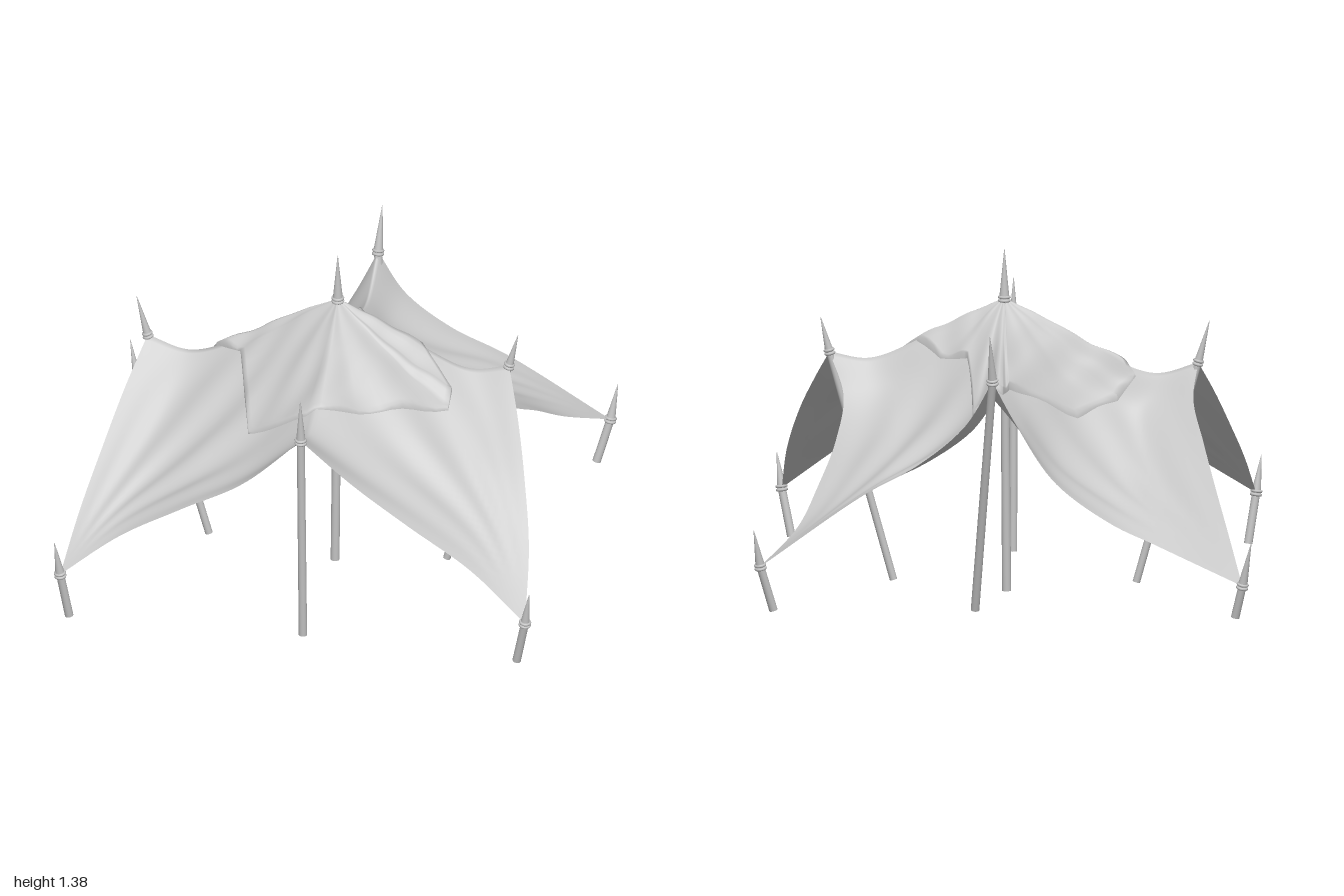
import * as THREE from 'three';

const V = (p) => new THREE.Vector3(...p);
const clothMat = new THREE.MeshStandardMaterial({ color: 0xc8c8c8, side: THREE.DoubleSide });
clothMat.name = 'light grey canvas';
const poleMat = new THREE.MeshStandardMaterial({ color: 0xc2c2c2 });
poleMat.name = 'grey wood';

// Pole lashing points that carry the canvas
const C = [0.035, 1.18, 0.035];
const L = [0.73, 0.96, 0.035], R = [-0.735, 0.93, 0.04];
const F = [0.04, 0.94, 0.765], B = [0.04, 0.98, -0.71];
const FL = [0.965, 0.26, 0.84], FR = [-0.92, 0.26, 0.84];
const BL = [0.955, 0.25, -0.84], BR = [-0.96, 0.19, -0.835];

const curve = (...pts) => new THREE.CatmullRomCurve3(pts.map(V), false, 'centripetal');

// Ridges from the centre pole to the side poles
const ridge = {
  L: curve(C, [0.18, 1.11, 0.035], [0.36, 1.02, 0.04], [0.57, 0.935, 0.045], L),
  R: curve(C, [-0.14, 1.09, 0.035], [-0.34, 0.97, 0.04], [-0.56, 0.885, 0.045], R),
  F: curve(C, [0.04, 1.08, 0.2], [0.04, 0.96, 0.4], [0.04, 0.88, 0.6], F),
  B: curve(C, [0.04, 1.01, -0.13], [0.04, 0.9, -0.34], [0.04, 0.87, -0.53], B),
};
// Hanging outer edges from the side poles to the corner stakes
const hem = {
  LF: curve(L, [0.8, 0.82, 0.2], [0.87, 0.66, 0.4], [0.93, 0.47, 0.6], FL),
  LB: curve(L, [0.67, 0.8, -0.04], [0.69, 0.65, -0.18], [0.75, 0.5, -0.42], [0.82, 0.37, -0.62], BL),
  RF: curve(R, [-0.79, 0.78, 0.22], [-0.84, 0.61, 0.43], [-0.885, 0.44, 0.64], FR),
  RB: curve(R, [-0.72, 0.8, -0.04], [-0.77, 0.65, -0.2], [-0.83, 0.5, -0.4], [-0.89, 0.36, -0.6], BR),
  FL: curve(F, [0.25, 0.77, 0.775], [0.48, 0.61, 0.78], [0.73, 0.44, 0.78], FL),
  FR: curve(F, [-0.2, 0.71, 0.755], [-0.45, 0.56, 0.745], [-0.7, 0.41, 0.75], FR),
  BL: curve(B, [0.15, 0.8, -0.72], [0.33, 0.65, -0.745], [0.55, 0.53, -0.78], BL),
  BR: curve(B, [-0.05, 0.8, -0.66], [-0.2, 0.56, -0.61], [-0.42, 0.39, -0.58], [-0.6, 0.31, -0.605], BR),
};
const corner = { LF: FL, LB: BL, RF: FR, RB: BR };
const mid = { L, R, F, B };

// Point on the canvas, s and t from -1 to 1: a blended patch in each quarter
function canvasPoint(s, t) {
  const a = s >= 0 ? 'L' : 'R', b = t >= 0 ? 'F' : 'B';
  const u = Math.abs(s), v = Math.abs(t);
  const p = new THREE.Vector3();
  p.addScaledVector(ridge[a].getPoint(u), 1 - v).addScaledVector(hem[b + a].getPoint(u), v);
  p.addScaledVector(ridge[b].getPoint(v), 1 - u).addScaledVector(hem[a + b].getPoint(v), u);
  p.addScaledVector(V(C), -(1 - u) * (1 - v)).addScaledVector(V(mid[a]), -u * (1 - v));
  p.addScaledVector(V(mid[b]), -(1 - u) * v).addScaledVector(V(corner[a + b]), -u * v);
  // Folds fanning out from the corner stakes
  const fan = Math.atan2(1 - u, 1 - v + 1e-6);
  p.y += 0.011 * Math.sin(fan * 17 + s * 2) * 16 * u * (1 - u) * v * (1 - v);
  return p;
}

// Surface over a grid of points
function gridSurface(n, m, point) {
  const pos = [], idx = [];
  for (let i = 0; i <= n; i++) {
    for (let j = 0; j <= m; j++) pos.push(...point(i / n, j / m).toArray());
  }
  for (let i = 0; i < n; i++) {
    for (let j = 0; j < m; j++) {
      const a = i * (m + 1) + j, b = a + m + 1;
      idx.push(a, a + 1, b, b, a + 1, b + 1);
    }
  }
  const g = new THREE.BufferGeometry();
  g.setAttribute('position', new THREE.Float32BufferAttribute(pos, 3));
  g.setIndex(idx);
  g.computeVertexNormals();
  return g;
}

// Ragged outline of the second cloth thrown over the peak
const rag = [[-0.45, -0.14], [-0.33, -0.25], [-0.06, -0.33], [-0.03, -0.4], [0.18, -0.42], [0.21, -0.14],
  [0.32, -0.09], [0.465, 0.13], [0.45, 0.21], [0.155, 0.36], [-0.03, 0.43], [-0.23, 0.4], [-0.35, 0.07], [-0.48, -0.03]];

function ragPoint(r, w) {
  const k = w * rag.length, i = Math.floor(k) % rag.length, f = k - Math.floor(k);
  const p = rag[i], q = rag[(i + 1) % rag.length];
  const e = Math.min(r / 0.97, 1) / 0.71;
  const s = (p[0] + (q[0] - p[0]) * f) * e, t = (p[1] + (q[1] - p[1]) * f) * e;
  const o = canvasPoint(s, t);
  // Crumples, with the hem turned down onto the canvas
  const crumple = 0.007 * Math.sin(w * 82 + r * 3) + 0.005 * Math.sin(s * 31 + t * 17);
  o.y += r > 0.98 ? 0.001 : 0.004 + r * (0.016 + crumple);
  return o;
}

function mesh(name, geo, mat) {
  const m = new THREE.Mesh(geo, mat);
  m.name = name;
  return m;
}

// Tapered round bar between two points
function bar(name, from, to, r0, r1, sides = 16) {
  const a = V(from), b = V(to), d = b.clone().sub(a);
  const m = mesh(name, new THREE.CylinderGeometry(r1, r0, d.length(), sides), poleMat);
  m.position.copy(a).add(b).multiplyScalar(0.5);
  m.quaternion.setFromUnitVectors(new THREE.Vector3(0, 1, 0), d.normalize());
  return m;
}

// Pole with rope lashing and a pointed finial
function pole(name, foot, tie, tip, r) {
  const g = new THREE.Group();
  g.name = name;
  g.add(bar('shaft', foot, tie, r, r * 0.95));
  g.add(bar('spike', tie, tip, r * 1.15, 0.001));
  const up = V(tip).sub(V(tie)).normalize();
  for (const k of [-0.007, 0.007]) {
    const ring = mesh('lashing', new THREE.TorusGeometry(r * 1.1, 0.006, 8, 20), poleMat);
    ring.position.copy(V(tie)).addScaledVector(up, k);
    ring.quaternion.setFromUnitVectors(new THREE.Vector3(0, 0, 1), up);
    g.add(ring);
  }
  return g;
}

export function createModel() {
  const model = new THREE.Group();
  model.name = 'canvasShelter';
  model.add(mesh('canvas', gridSurface(88, 88, (a, b) => canvasPoint(a * 2 - 1, b * 2 - 1)), clothMat));
  model.add(mesh('peakCloth', gridSurface(112, 30, (w, r) => ragPoint(r, w)), clothMat));

  const poles = [
    ['centrePole', [0.027, 0, 0.05], C, [0.035, 1.38, 0.037], 0.018],
    ['frontPole', [0.04, 0.035, 0.725], F, [0.04, 1.13, 0.775], 0.017],
    ['backPole', [0.125, 0.01, -0.435], B, [0.048, 1.17, -0.755], 0.017],
    ['leftPole', [0.475, 0.045, 0.025], L, [0.765, 1.1, 0.03], 0.015],
    ['rightPole', [-0.49, 0.045, 0.025], R, [-0.78, 1.1, 0.04], 0.015],
    ['frontLeftStake', [0.925, 0.07, 0.81], FL, [0.985, 0.4, 0.855], 0.017],
    ['frontRightStake', [-0.89, 0.06, 0.81], FR, [-0.94, 0.41, 0.857], 0.017],
    ['backLeftStake', [0.905, 0.07, -0.81], BL, [0.98, 0.4, -0.865], 0.017],
    ['backRightStake', [-0.93, 0.06, -0.81], BR, [-0.997, 0.37, -0.86], 0.017],
  ];
  for (const p of poles) model.add(pole(...p));
  return model;
}
